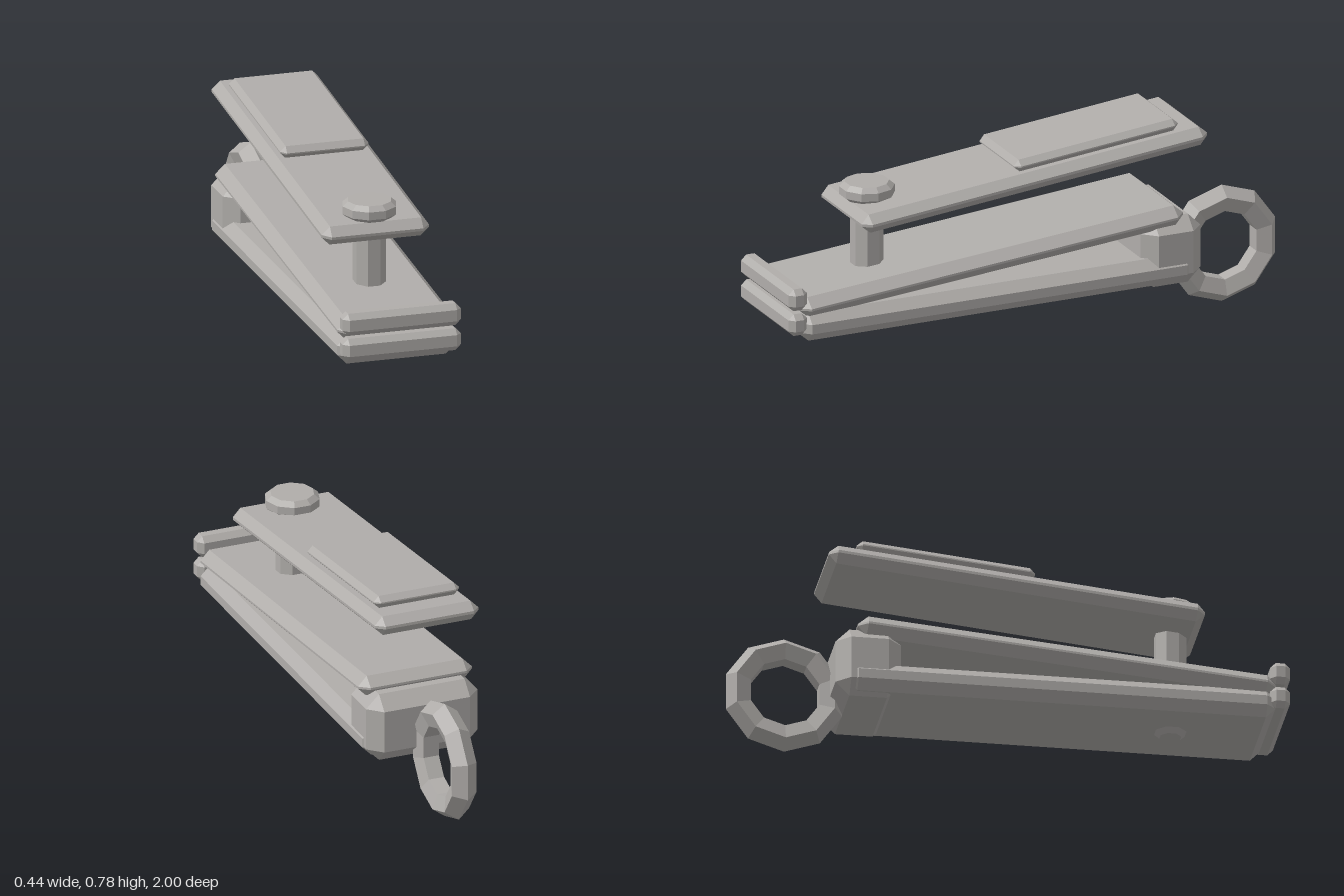
import * as THREE from 'three';
import { ConvexGeometry } from 'three/addons/geometries/ConvexGeometry.js';

// Box with every edge cut at 45 degrees
function chamferBox(w, h, d, c) {
  const pts = [];
  const [x, y, z] = [w / 2, h / 2, d / 2];
  for (const sx of [-1, 1]) for (const sy of [-1, 1]) for (const sz of [-1, 1]) {
    pts.push(
      new THREE.Vector3(sx * x, sy * (y - c), sz * (z - c)),
      new THREE.Vector3(sx * (x - c), sy * y, sz * (z - c)),
      new THREE.Vector3(sx * (x - c), sy * (y - c), sz * z));
  }
  return new ConvexGeometry(pts);
}

// Faceted normals
function facet(geometry) {
  const g = geometry.toNonIndexed();
  g.computeVertexNormals();
  return g;
}

function turned(profile, sides, start) {
  const pts = profile.map(([r, y]) => new THREE.Vector2(r, y));
  return facet(new THREE.LatheGeometry(pts, sides, start));
}

export function createModel() {
  const group = new THREE.Group();
  const steel = new THREE.MeshStandardMaterial({ color: 0xb0adaa });
  steel.name = 'steel';

  function add(name, geometry, x, y, z, tilt = 0) {
    const mesh = new THREE.Mesh(geometry, steel);
    mesh.name = name;
    mesh.position.set(x, y, z);
    mesh.rotation.x = tilt;
    group.add(mesh);
    return mesh;
  }

  // Two arms joined by a block at the back
  add('lowerArm', chamferBox(0.44, 0.105, 1.54, 0.035), 0, 0.228, 0.18);
  add('upperArm', chamferBox(0.44, 0.078, 1.51, 0.035), 0, 0.365, 0.199, 0.088);
  add('rearBlock', chamferBox(0.43, 0.258, 0.235, 0.05), 0, 0.291, -0.513);

  // Cutting jaws at the front
  add('lowerJaw', chamferBox(0.44, 0.082, 0.072, 0.02), 0, 0.249, 0.964);
  add('upperJaw', chamferBox(0.44, 0.082, 0.072, 0.02), 0, 0.343, 0.964);

  // Lever with its thumb pad
  add('lever', chamferBox(0.4, 0.07, 1.36, 0.03), 0, 0.642, 0.022, 0.103);
  add('thumbPad', chamferBox(0.33, 0.045, 0.645, 0.02), 0, 0.726, -0.23, 0.103);

  // Pin through the arms, with a round head
  add('pin', turned([[0, 0.158], [0.04, 0.158], [0.06, 0.176], [0.06, 0.64], [0, 0.64]], 8, Math.PI / 8), 0, 0, 0.6);
  add('pinHead', turned([[0, 0.61], [0.08, 0.61], [0.1, 0.626], [0.1, 0.655], [0.08, 0.672], [0, 0.672]], 10, Math.PI / 10), 0, 0, 0.6);

  // Key ring at the back
  const ring = facet(new THREE.TorusGeometry(0.17, 0.05, 5, 10));
  ring.rotateZ(Math.PI / 2);
  ring.rotateY(Math.PI / 2);
  add('keyRing', ring, 0, 0.222, -0.79);

  return group;
}
